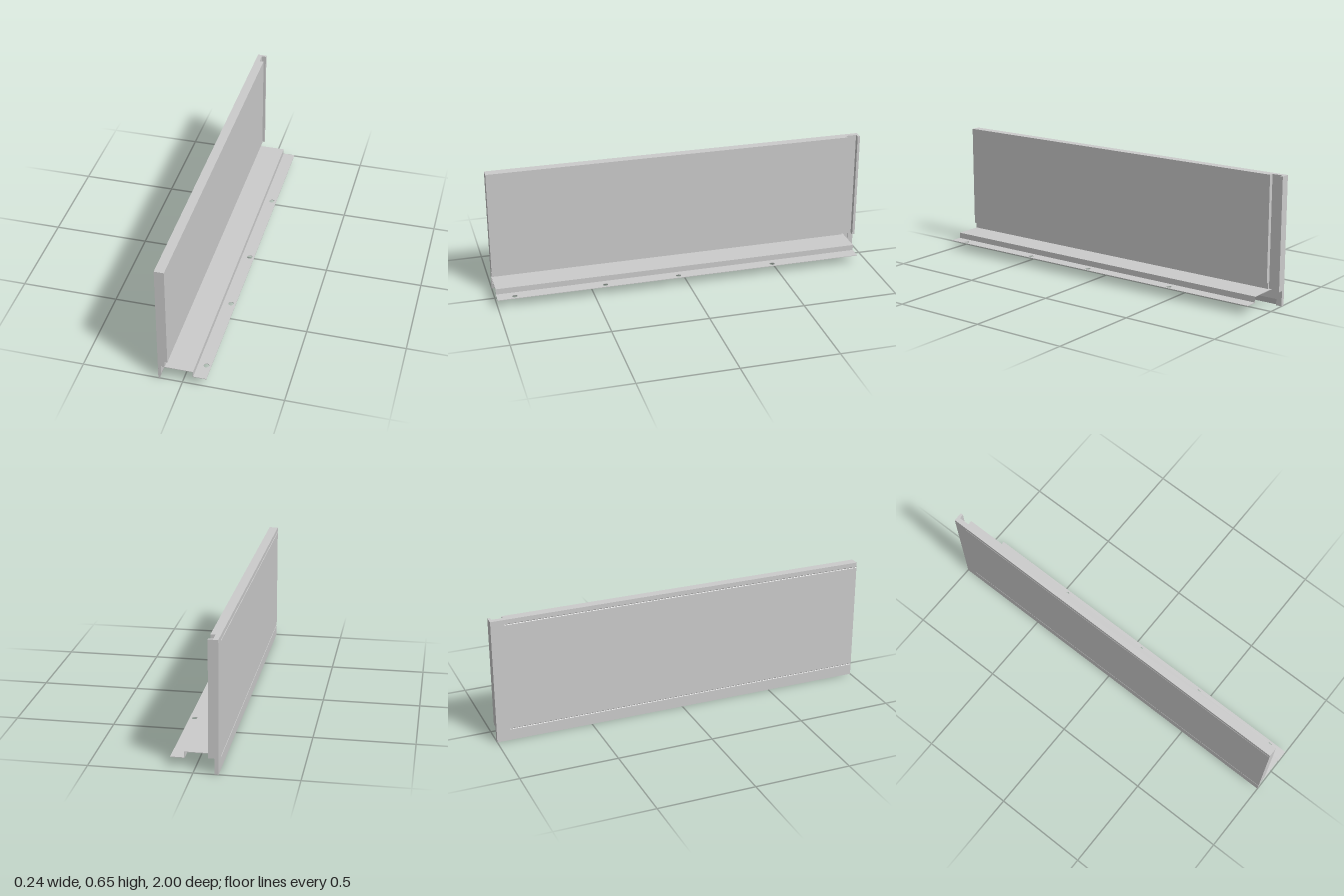
import * as THREE from 'three';

const material = new THREE.MeshStandardMaterial({ color: 0xcccccc, flatShading: true });

const outline = (points) => new THREE.Shape(points.map(([a, b]) => new THREE.Vector2(a, b)));

// Extrudes an (x, y) section along z.
function alongZ(name, points, z0, z1) {
  const geometry = new THREE.ExtrudeGeometry(outline(points), { depth: z1 - z0, bevelEnabled: false });
  geometry.translate(0, 0, z0);
  const mesh = new THREE.Mesh(geometry, material);
  mesh.name = name;
  return mesh;
}

// Extrudes an (x, -z) plan upwards in y.
function upwards(name, shape, y0, y1) {
  const geometry = new THREE.ExtrudeGeometry(shape, { depth: y1 - y0, bevelEnabled: false, curveSegments: 10 });
  geometry.rotateX(-Math.PI / 2).translate(0, y0, 0);
  const mesh = new THREE.Mesh(geometry, material);
  mesh.name = name;
  return mesh;
}

export function createModel() {
  const group = new THREE.Group();
  group.name = 'panelWithMountingRail';

  const back = -0.12, face = -0.072, top = 0.655, foot = 0.079;

  // Main panel: recessed at the foot, tapered skirt, fine grooves on the back
  group.add(alongZ('panel', [
    [back, 0], [-0.113, 0], [-0.105, 0.03], [-0.105, foot], [-0.086, foot],
    [-0.086, 0.11], [face, 0.11], [face, top], [back, top],
    [back, 0.632], [back + 0.002, 0.629], [back, 0.626],
    [back, 0.065], [back + 0.002, 0.062], [back, 0.059],
  ], -0.93, 1));

  // Hooked joint at the rear end of the panel
  group.add(upwards('endHook', outline([
    [back, 0.93], [-0.095, 0.93], [-0.095, 0.986], [face, 0.986], [face, 1], [back, 1],
  ]), foot, top));

  // Skirt continued below the hook, with a square stop at the very end
  group.add(alongZ('skirtExtension', [
    [back, 0], [-0.113, 0], [-0.105, 0.03], [-0.105, foot], [back, foot],
  ], -0.97, -0.93));
  group.add(alongZ('skirtStop', [
    [back, 0], [-0.1, 0], [-0.1, foot], [back, foot],
  ], -1, -0.97));

  // Thin stepped rail: upper shelf and riser
  const railEnd = -0.94;
  group.add(alongZ('railShelf', [
    [-0.105, 0.075], [0.051, 0.075], [0.051, 0.046], [0.054, 0.046],
    [0.054, 0.078], [-0.105, 0.078],
  ], railEnd, 1));

  // Lower rail flange with screw holes
  const flange = outline([[0.051, -1], [0.119, -1], [0.119, -railEnd], [0.051, -railEnd]]);
  for (const z of [-0.465, 0.05, 0.44, 0.91]) {
    const hole = new THREE.Path();
    hole.absarc(0.095, -z, 0.014, 0, Math.PI * 2, true);
    flange.holes.push(hole);
  }
  group.add(upwards('railFlange', flange, 0.045, 0.048));

  return group;
}
